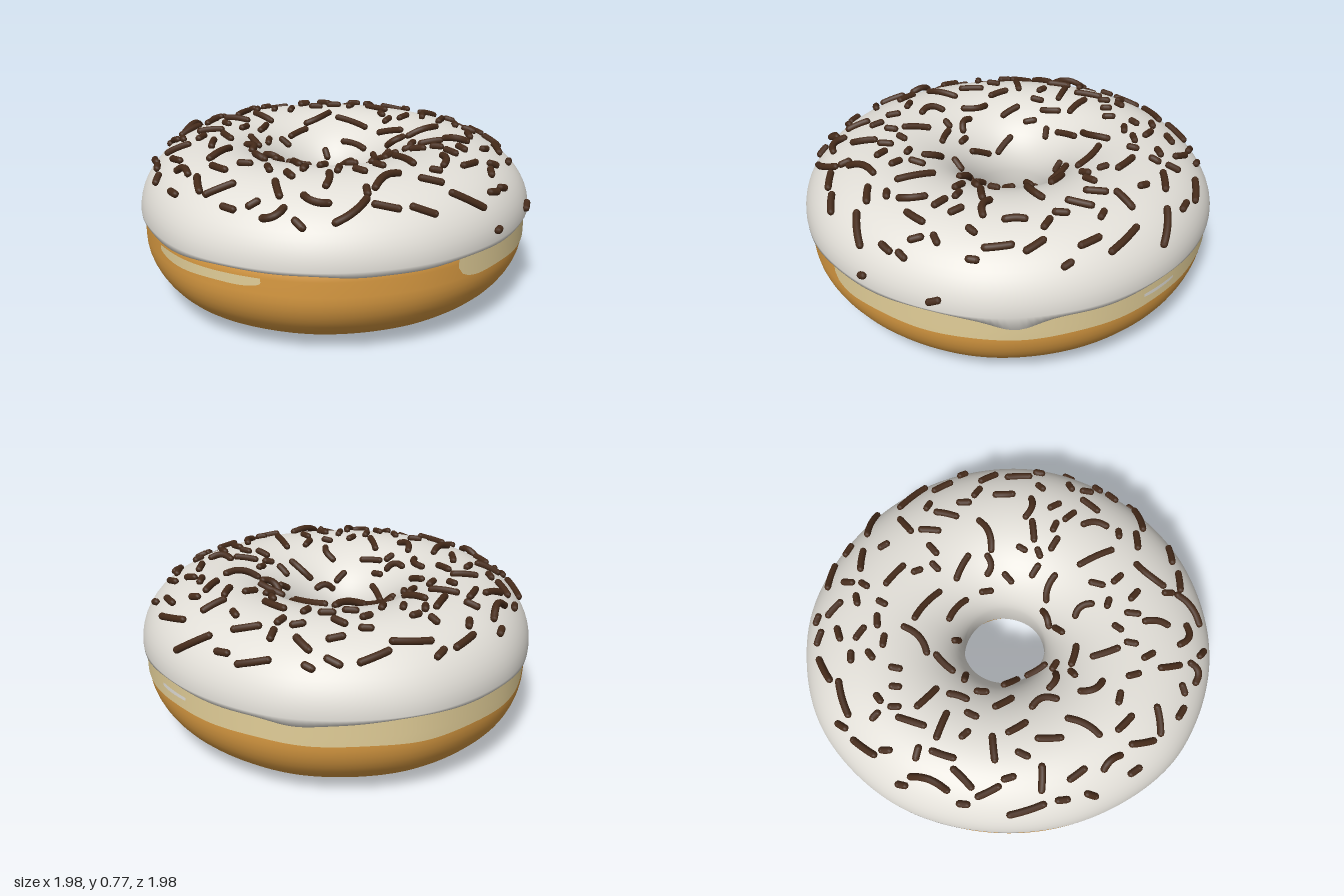
import * as THREE from 'three';
import { mergeGeometries } from 'three/addons/utils/BufferGeometryUtils.js';

const TAU = Math.PI * 2;

// Slightly uneven outer outline, one radius every 30 degrees from +x towards +z
const radii = [0.985, 0.968, 0.97, 0.965, 0.98, 0.998, 0.997, 0.962, 0.955, 0.992, 1.03, 1.025];
const outline = new THREE.CatmullRomCurve3(
  radii.map((r, i) => new THREE.Vector3(r * Math.cos(i * TAU / 12), 0, r * Math.sin(i * TAU / 12))),
  true, 'catmullrom', 0.5);

// Point on the ring: angle a, s = 0 at the hole and 1 at the outer outline
function ringPoint(a, s, y) {
  const u = (((a / TAU) % 1) + 1) % 1;
  const inner = new THREE.Vector3(0.013 + 0.204 * Math.cos(a), 0, -0.04 + 0.204 * Math.sin(a));
  const p = inner.lerp(outline.getPoint(u), s);
  p.y = y;
  return p;
}

// Surface through cross-sections; section(a) returns a list of [s, y]
function sweep(section, a0, a1, steps) {
  const closed = Math.abs(a1 - a0 - TAU) < 1e-6;
  const rows = closed ? steps : steps + 1;
  const pos = [], index = [];
  let n = 0;
  for (let i = 0; i < rows; i++) {
    const a = a0 + (a1 - a0) * i / steps;
    const pts = section(a);
    n = pts.length;
    for (const [s, y] of pts) pos.push(...ringPoint(a, s, y).toArray());
  }
  for (let i = 0; i < steps; i++) {
    const p = i * n, q = ((i + 1) % rows) * n;
    for (let j = 0; j < n - 1; j++) {
      index.push(p + j, q + j, p + j + 1, q + j, q + j + 1, p + j + 1);
    }
  }
  const g = new THREE.BufferGeometry();
  g.setAttribute('position', new THREE.Float32BufferAttribute(pos, 3));
  g.setIndex(index);
  g.computeVertexNormals();
  return g;
}

// Lower body: straight sides with an elliptical underside
const HALF = 0.477, WAIST = 0.31;

function doughSection() {
  const pts = [[0.93, 0.46], [0.5 + HALF, 0.44], [0.5 + HALF, 0.38]];
  for (let k = 0; k <= 28; k++) {
    const t = Math.PI * k / 28;
    pts.push([0.5 + HALF * Math.cos(t), WAIST * (1 - Math.sin(t))]);
  }
  pts.push([0.5 - HALF, 0.38], [0.03, 0.44], [0.07, 0.46]);
  return pts;
}

// Wavy icing rim with a few drips
const bump = (a, c, w) => Math.exp(-(((a - c + TAU * 1.5) % TAU - Math.PI) ** 2) / (w * w));
const outerRim = a => 0.414 + 0.005 * Math.sin(5 * a + 1) + 0.004 * Math.sin(11 * a)
  - 0.046 * bump(a, 0.89, 0.12) - 0.016 * bump(a, 5.75, 0.12)
  - 0.015 * bump(a, 2.4, 0.15) - 0.015 * bump(a, 4.1, 0.1);
const innerRim = a => 0.3 + 0.008 * Math.sin(4 * a);

const icingY = t => 0.43 + 0.305 * Math.sin(t);
const icingS = t => 0.5 - 0.5 * Math.cos(t);

function icingSection(a) {
  const pts = [[0.04, innerRim(a) + 0.006], [0.004, innerRim(a)]];
  for (let k = 0; k <= 30; k++) {
    const t = Math.PI * k / 30;
    pts.push([icingS(t), icingY(t)]);
  }
  pts.push([0.998, outerRim(a)], [0.96, outerRim(a) + 0.006]);
  return pts;
}

// Thin skin on the side, rounded off at both ends
function skinStrip(a0, a1, yLow, yHigh, lift) {
  return sweep(a => {
    const e = Math.min(1, Math.min(a - a0, a1 - a) / 0.16);
    const h = Math.sqrt(Math.max(0, 1 - (1 - e) ** 2));
    const low = yLow + 0.006 * Math.sin(3 * a + 2) + 0.003 * Math.sin(13 * a);
    const mid = yLow + (yHigh - yLow) * 0.5;
    const pts = [];
    for (let k = 0; k <= 6; k++) {
      const y = THREE.MathUtils.lerp(yHigh, THREE.MathUtils.lerp(mid, low, h), k / 6);
      const d = Math.max(0, 1 - y / WAIST);
      pts.push([0.5 + HALF * Math.sqrt(1 - d * d) + lift, y]);
    }
    return pts;
  }, a0, a1, 140);
}

function seeded(seed) {
  return () => {
    seed = (seed * 1664525 + 1013904223) % 4294967296;
    return seed / 4294967296;
  };
}

// One bent rod that follows the icing
function sprinkle(a, t, dir, length, bend) {
  const rad = 0.017, pts = [];
  const r = 0.2 + 0.78 * icingS(t);
  const speed = Math.hypot(0.39 * Math.sin(t), 0.305 * Math.cos(t));
  for (let k = -2; k <= 2; k++) {
    const arch = 1 - k * k / 4;
    const along = k / 4 * length, side = bend * arch;
    const u = along * Math.cos(dir) - side * Math.sin(dir);
    const v = along * Math.sin(dir) + side * Math.cos(dir);
    const tt = t + v / speed;
    const p = ringPoint(a + u / r, icingS(tt), icingY(tt));
    const lift = 0.01 + Math.abs(bend) * 0.6 * arch;
    p.y += lift * Math.sin(tt);
    p.x -= Math.cos(a) * Math.cos(tt) * lift;
    p.z -= Math.sin(a) * Math.cos(tt) * lift;
    pts.push(p);
  }
  const parts = [new THREE.TubeGeometry(new THREE.CatmullRomCurve3(pts), 8, rad, 8)];
  for (const end of [pts[0], pts[4]]) {
    parts.push(new THREE.SphereGeometry(rad, 8, 6).translate(end.x, end.y, end.z));
  }
  return mergeGeometries(parts);
}

// Scatter with spacing that depends on length, lying along the rim on the outer slope
function sprinkleGeometry() {
  const rnd = seeded(77), placed = [], list = [];
  for (let tries = 0; tries < 9000 && list.length < 142; tries++) {
    const a = rnd() * TAU, t = 0.42 + rnd() * 2.1;
    if (rnd() > 0.2 + 0.8 * icingS(t)) continue;
    const kind = rnd();
    const length = kind < 0.35 ? 0.03 + rnd() * 0.025 : kind < 0.85 ? 0.08 + rnd() * 0.05 : 0.15 + rnd() * 0.03;
    const c = ringPoint(a, icingS(t), icingY(t));
    if (placed.some(q => q.c.distanceTo(c) < 0.06 + 0.3 * (q.length + length))) continue;
    placed.push({ c, length });
    const bend = kind >= 0.35 && rnd() < 0.5 ? (rnd() - 0.5) * 0.4 * length : 0;
    const dir = t > 2.1 ? (rnd() - 0.5) * 1.6 : rnd() * TAU;
    list.push(sprinkle(a, t, dir, length, bend));
  }
  // Two stray ones low on the front
  list.push(sprinkle(1.64, Math.PI - 0.17, 0.2, 0.015, 0), sprinkle(1.26, Math.PI - 0.17, 0.4, 0.04, 0));
  return mergeGeometries(list);
}

export function createModel() {
  const group = new THREE.Group();
  const material = (name, color) => {
    const m = new THREE.MeshStandardMaterial({ color });
    m.name = name;
    return m;
  };
  const dough = material('golden dough', 0xda9b42);
  const pale = material('pale dough', 0xe2ce98);
  const white = material('white icing', 0xe2dfd8);
  const brown = material('dark chocolate', 0x462b1a);
  pale.side = white.side = THREE.DoubleSide;

  const add = (name, geometry, mat) => {
    const mesh = new THREE.Mesh(geometry, mat);
    mesh.name = name;
    group.add(mesh);
  };
  add('doughRing', sweep(doughSection, 0, TAU, 160), dough);
  add('paleBand', skinStrip(-1.87, 1.89, 0.302, 0.43, 0.005), pale);
  add('palePatch', skinStrip(2.8, 3.43, 0.342, 0.382, 0.005), pale);
  add('lightFleck', skinStrip(0.04, 0.25, 0.346, 0.372, 0.008), white);
  add('icing', sweep(icingSection, 0, TAU, 200), white);
  add('sprinkles', sprinkleGeometry(), brown);
  return group;
}
